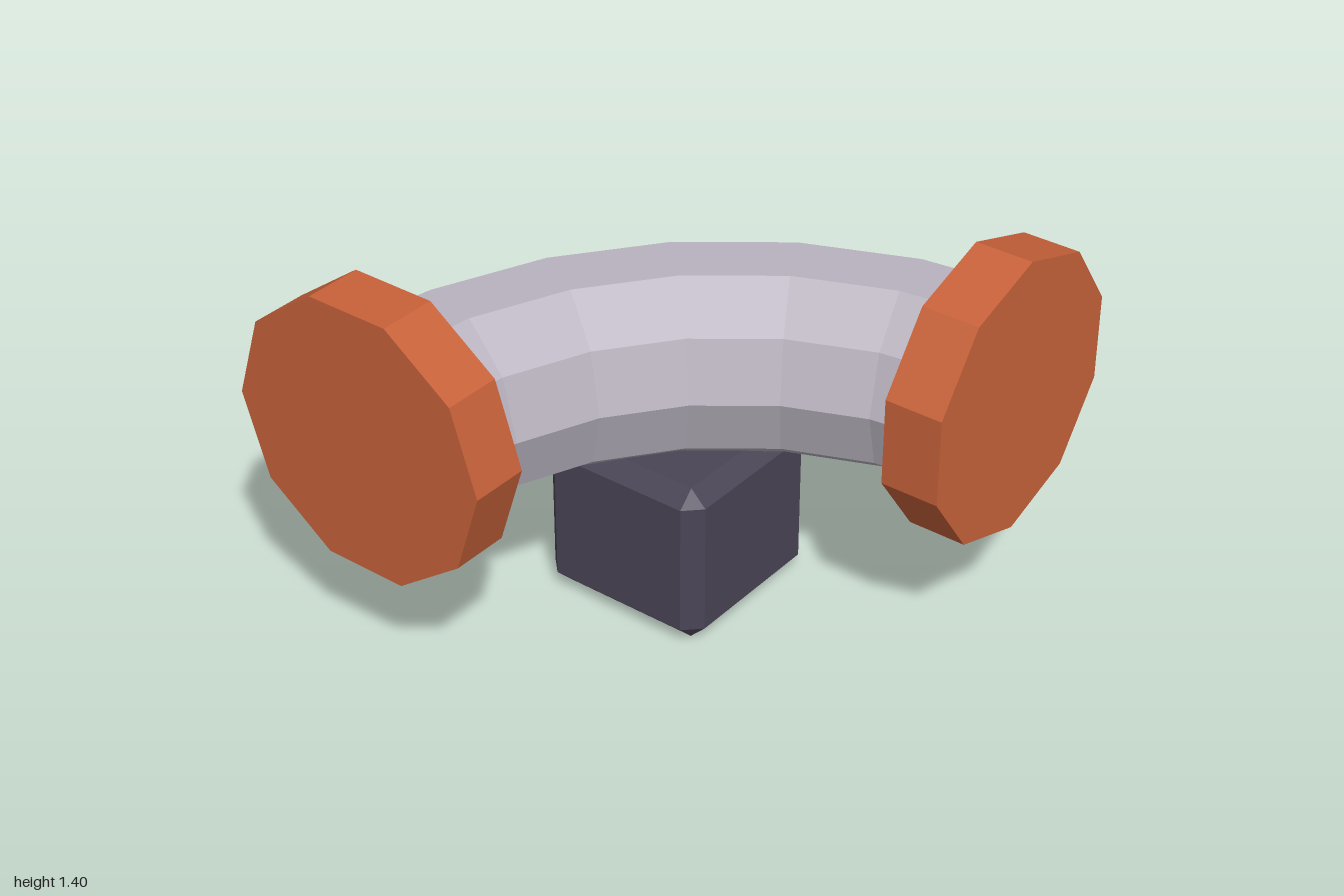
import * as THREE from 'three';
import { ConvexGeometry } from 'three/addons/geometries/ConvexGeometry.js';

const paint = (name, color) => {
  const m = new THREE.MeshStandardMaterial({ color, flatShading: true });
  m.name = name;
  return m;
};

// Box with flat chamfers on every edge and triangular corners
function chamferedBox(w, h, d, c) {
  const points = [];
  for (const x of [-1, 1]) for (const y of [-1, 1]) for (const z of [-1, 1]) {
    for (let axis = 0; axis < 3; axis++) {
      const inset = [c, c, c];
      inset[axis] = 0;
      points.push(new THREE.Vector3(
        x * (w / 2 - inset[0]), y * (h / 2 - inset[1]), z * (d / 2 - inset[2])));
    }
  }
  return new ConvexGeometry(points);
}

export function createModel() {
  const group = new THREE.Group();
  const steel = paint('pale steel', 0xb8b2be);
  const orange = paint('flange orange', 0xc8623a);
  const dark = paint('dark block', 0x4a4556);

  const add = (name, geometry, material, x, y, z) => {
    const mesh = new THREE.Mesh(geometry, material);
    mesh.name = name;
    mesh.position.set(x, y, z);
    group.add(mesh);
  };

  const axisY = 0.893, bend = 1.47, bendCentre = 0.97;

  // Ten-sided quarter bend, its ends buried in the flanges
  const elbow = new THREE.TorusGeometry(bend, 0.355, 10, 6, Math.PI / 2).rotateX(-Math.PI / 2);
  add('elbowPipe', elbow, steel, -bendCentre, axisY, bendCentre);

  // Flange discs closing both ends
  const flange = () => new THREE.CylinderGeometry(0.503, 0.503, 0.207, 10);
  add('frontFlange', flange().rotateX(Math.PI / 2), orange, 0.505, axisY, 0.893);
  add('sideFlange', flange().rotateZ(Math.PI / 2), orange, -0.89, axisY, -0.5);

  // Support block beneath the bend
  add('supportBlock', chamferedBox(0.648, 0.6, 0.648, 0.058), dark, 0.06, 0.3, -0.053);

  return group;
}
